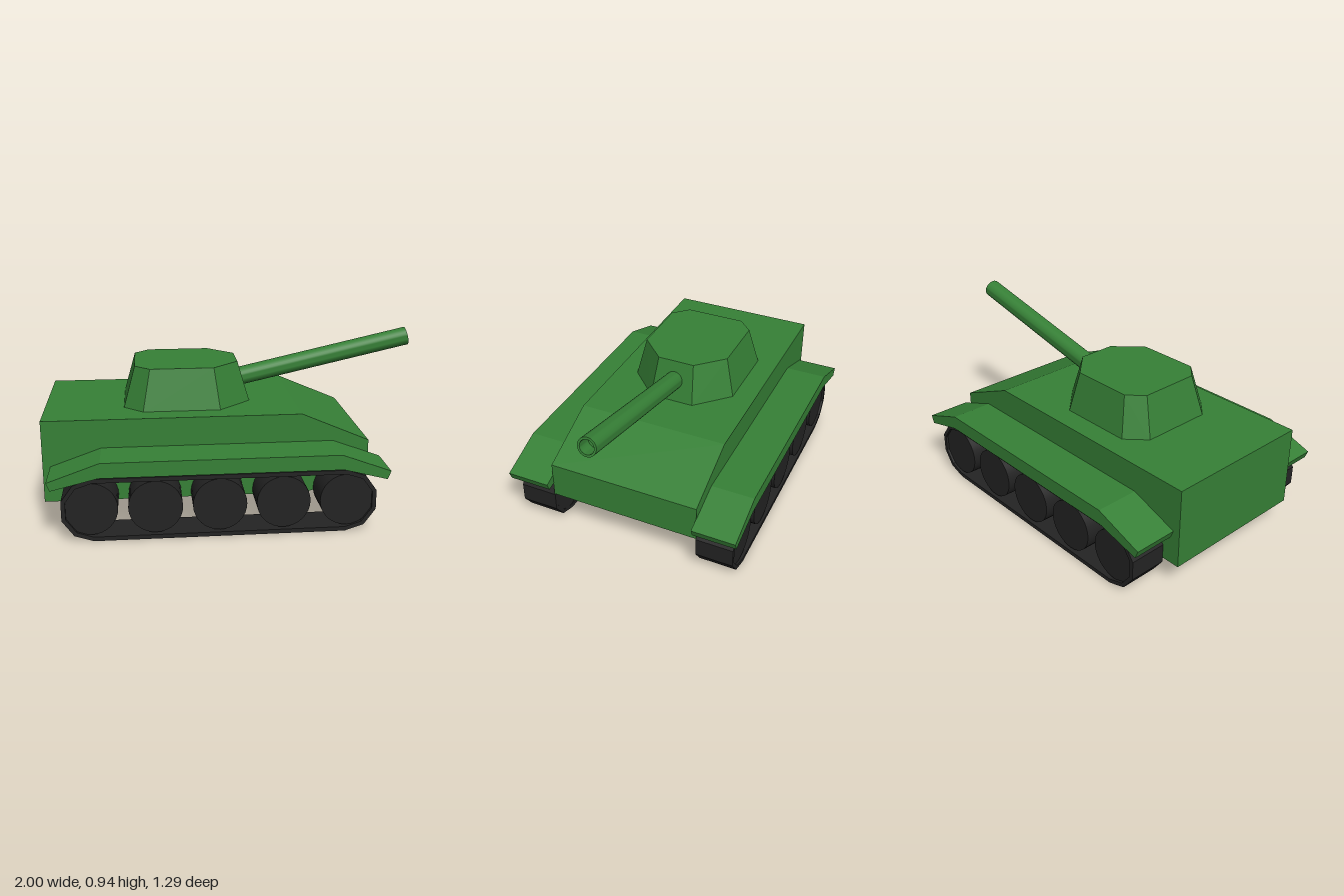
import * as THREE from 'three';
import { toCreasedNormals } from 'three/addons/utils/BufferGeometryUtils.js';
import { ConvexGeometry } from 'three/addons/geometries/ConvexGeometry.js';

const green = new THREE.MeshStandardMaterial({ color: 0x368036 });
green.name = 'armour green';
const black = new THREE.MeshStandardMaterial({ color: 0x232323 });
black.name = 'track black';

const toPoints = (list) => list.map(([x, y]) => new THREE.Vector2(x, y));

// Side profile in x and y, extruded from z0 to z1
function slab(name, profile, z0, z1, material, hole) {
  const shape = new THREE.Shape(toPoints(profile));
  if (hole) shape.holes.push(new THREE.Path(toPoints(hole)));
  const geometry = new THREE.ExtrudeGeometry(shape, { depth: z1 - z0, bevelEnabled: false });
  geometry.translate(0, 0, z0);
  const mesh = new THREE.Mesh(geometry, material);
  mesh.name = name;
  return mesh;
}

// Long loop with five-sided round ends
function trackLoop(radius) {
  const points = [];
  for (const [cx, start] of [[0.533, -90], [-0.743, 90]]) {
    for (let i = 0; i <= 5; i++) {
      const a = THREE.MathUtils.degToRad(start + i * 36);
      points.push([cx + Math.cos(a) * radius, 0.165 + Math.sin(a) * radius]);
    }
  }
  return points;
}

// Track, road wheels and fender of one side
function runningGear(name, side) {
  const group = new THREE.Group();
  group.name = name;
  const span = (a, b) => (side > 0 ? [a, b] : [-b, -a]);

  group.add(slab('track', trackLoop(0.165), ...span(0.41, 0.613), black, trackLoop(0.143)));

  const wheelGeometry = new THREE.CylinderGeometry(0.137, 0.137, 0.19, 32).rotateX(Math.PI / 2);
  for (let i = 0; i < 5; i++) {
    const wheel = new THREE.Mesh(wheelGeometry, black);
    wheel.name = 'roadWheel' + (i + 1);
    wheel.position.set(-0.757 + i * 0.324, 0.167, side * 0.505);
    group.add(wheel);
  }

  const fender = [
    [-0.945, 0.287], [-0.71, 0.345], [0.51, 0.345], [0.735, 0.287],
    [0.752, 0.33], [0.5, 0.423], [-0.7, 0.423], [-0.962, 0.33],
  ];
  group.add(slab('fender', fender, ...span(0.41, 0.645), green));
  return group;
}

export function createModel() {
  const model = new THREE.Group();
  model.name = 'tank';

  // Hull with sloped nose
  const hull = [[-1, 0.14], [0.36, 0.14], [0.69, 0.222], [0.69, 0.42], [0.335, 0.572], [-1, 0.572]];
  model.add(slab('hull', hull, -0.412, 0.412, green));

  // Tapered eight-sided turret: half outlines of base and roof
  const base = [[-0.585, 0.195], [-0.484, 0.295], [-0.078, 0.295], [0.095, 0.123]];
  const roof = [[-0.522, 0.163], [-0.443, 0.242], [-0.108, 0.242], [0.03, 0.102]];
  const corners = [];
  for (const [outline, y] of [[base, 0.565], [roof, 0.787]]) {
    for (const [x, z] of outline) {
      corners.push(new THREE.Vector3(x, y, z), new THREE.Vector3(x, y, -z));
    }
  }
  const turret = new THREE.Mesh(new ConvexGeometry(corners), green);
  turret.name = 'turret';
  model.add(turret);

  // Raised gun barrel with a recessed muzzle
  const length = 0.958;
  const profile = toPoints([
    [0, 0], [0.05, 0], [0.05, length], [0.038, length], [0.038, length - 0.08], [0, length - 0.08],
  ]);
  const barrel = new THREE.Mesh(
    toCreasedNormals(new THREE.LatheGeometry(profile, 32), Math.PI / 5), green);
  barrel.name = 'gunBarrel';
  barrel.position.set(0.052, 0.68, 0);
  barrel.rotation.z = THREE.MathUtils.degToRad(12.5 - 90);
  model.add(barrel);

  model.add(runningGear('frontSideRunningGear', 1), runningGear('backSideRunningGear', -1));
  return model;
}
